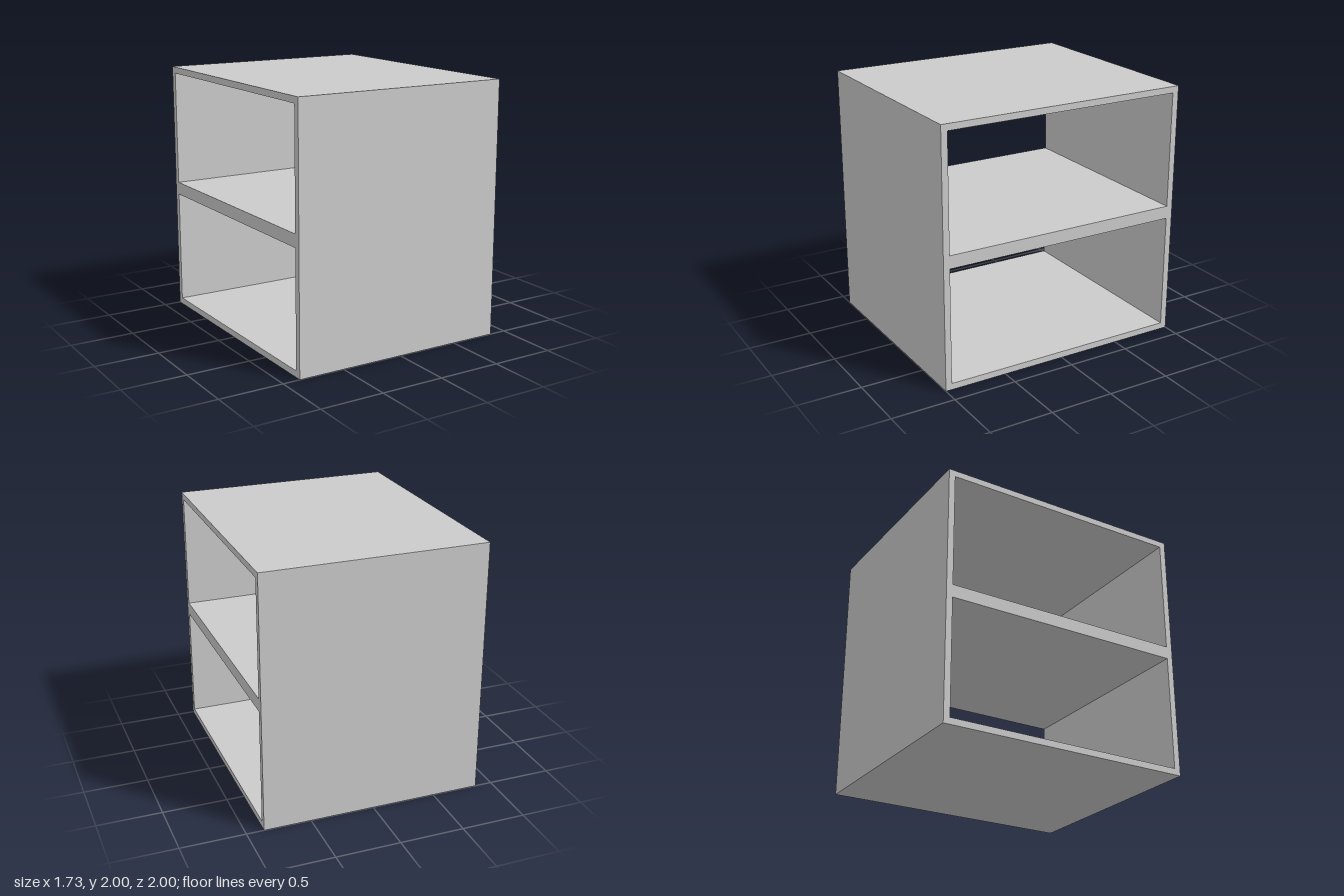
import * as THREE from 'three';

const WIDTH = 1.73, SIZE = 2, WALL = 0.05;

// Traces a rectangle centred on x = 0 into a Shape or Path
function rect(path, halfWidth, bottom, top) {
  path.moveTo(-halfWidth, bottom);
  path.lineTo(halfWidth, bottom);
  path.lineTo(halfWidth, top);
  path.lineTo(-halfWidth, top);
  path.closePath();
  return path;
}

export function createModel() {
  const group = new THREE.Group();
  group.name = 'openShelfUnit';

  // Side profile: outer frame with two stacked openings and a double-thick middle shelf
  const profile = rect(new THREE.Shape(), SIZE / 2, 0, SIZE);
  for (const base of [0, SIZE / 2]) {
    profile.holes.push(rect(new THREE.Path(), SIZE / 2 - WALL, base + WALL, base + SIZE / 2 - WALL));
  }

  // Extrude across the width so the compartments run right through from side to side
  const geometry = new THREE.ExtrudeGeometry(profile, { depth: WIDTH, bevelEnabled: false });
  geometry.translate(0, 0, -WIDTH / 2);
  geometry.rotateY(Math.PI / 2);

  const frame = new THREE.Mesh(geometry, new THREE.MeshStandardMaterial({ color: 0xcccccc }));
  frame.name = 'shelfFrame';
  group.add(frame);
  return group;
}
